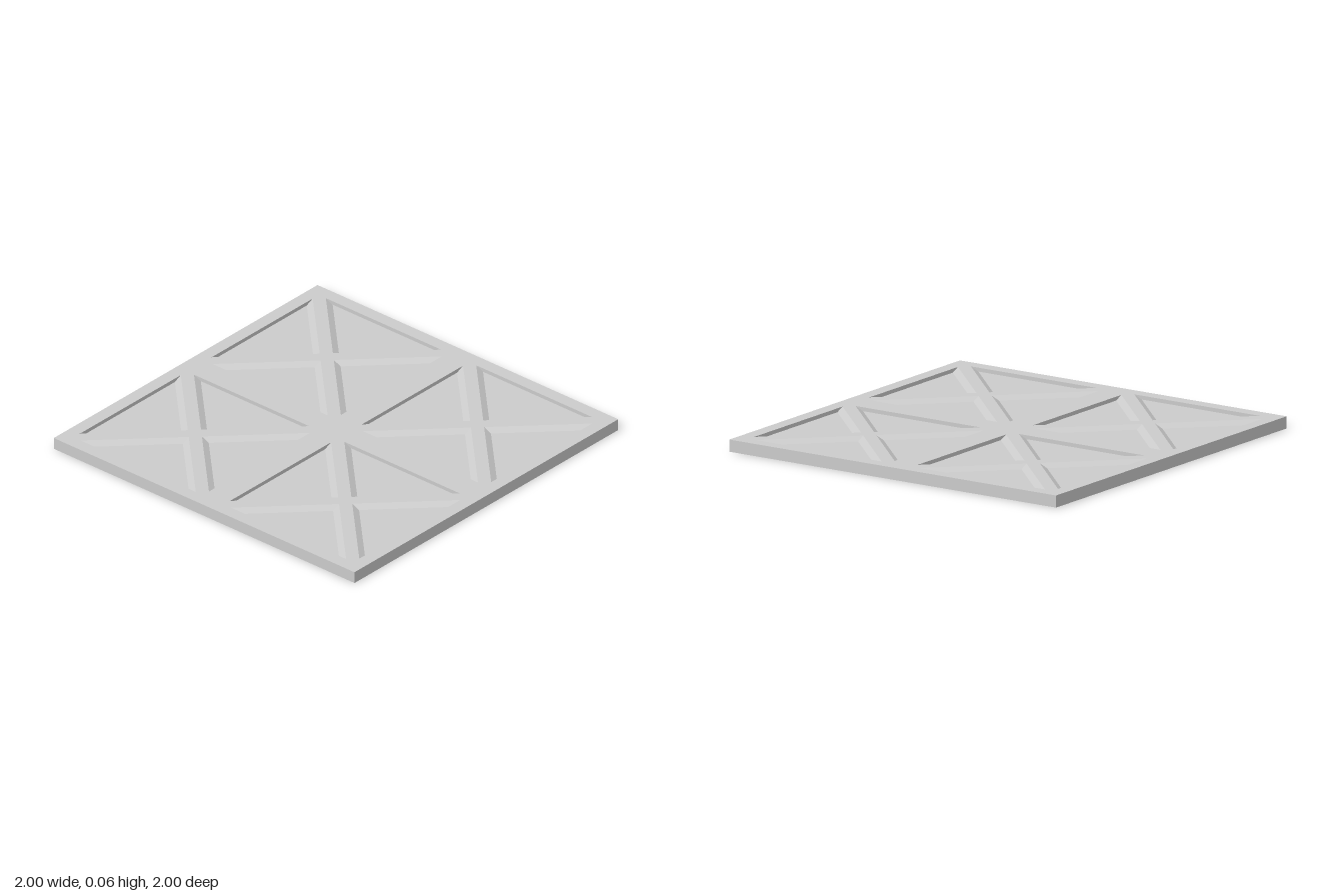
import * as THREE from 'three';

const H = 0.0625;      // slab thickness
const DEPTH = 0.02;    // recess depth on each face
const HALF = 0.43;     // half width of a recess
const FLAT = 0.033;    // half width of a brace's flat crest
const FOOT = 0.065;    // half width of a brace at its foot

function createModel() {
  const group = new THREE.Group();
  const material = new THREE.MeshStandardMaterial({ color: 0xcccccc, flatShading: true });
  const add = (parent, geometry, name) => {
    const mesh = new THREE.Mesh(geometry, material);
    mesh.name = name;
    parent.add(mesh);
    return mesh;
  };
  const square = (Type, x, y, h) => new Type([
    new THREE.Vector2(x - h, y - h), new THREE.Vector2(x + h, y - h),
    new THREE.Vector2(x + h, y + h), new THREE.Vector2(x - h, y + h),
  ]);
  const cells = [[-0.5, -0.5], [0.5, -0.5], [-0.5, 0.5], [0.5, 0.5]];

  // Frame: square slab with four square openings
  const outline = square(THREE.Shape, 0, 0, 1);
  for (const [x, z] of cells) outline.holes.push(square(THREE.Path, x, z, HALF));
  const frame = new THREE.ExtrudeGeometry(outline, { depth: H, bevelEnabled: false });
  frame.rotateX(-Math.PI / 2);
  add(group, frame, 'frame');

  // Brace: bevelled bar, the same on both faces, with ends hidden in the frame
  const t = H / 2, w = t - DEPTH;
  const section = new THREE.Shape([
    [-FLAT, -t], [FLAT, -t], [FOOT, -w], [FOOT, w],
    [FLAT, t], [-FLAT, t], [-FOOT, w], [-FOOT, -w],
  ].map(([x, y]) => new THREE.Vector2(x, y)));
  const length = 2 * HALF * Math.SQRT2;
  const brace = new THREE.ExtrudeGeometry(section, { depth: length, bevelEnabled: false });
  brace.translate(0, 0, -length / 2);

  // Recessed panels, each with a diagonal cross
  const sheet = new THREE.BoxGeometry(2 * HALF + 0.02, 2 * w, 2 * HALF + 0.02);
  for (const [x, z] of cells) {
    const cell = new THREE.Group();
    cell.name = 'crossBracedPanel';
    cell.position.set(x, t, z);
    add(cell, sheet, 'recessedPanel');
    for (const s of [-1, 1]) add(cell, brace, 'diagonalBrace').rotation.y = s * Math.PI / 4;
    group.add(cell);
  }
  return group;
}

export { createModel };
